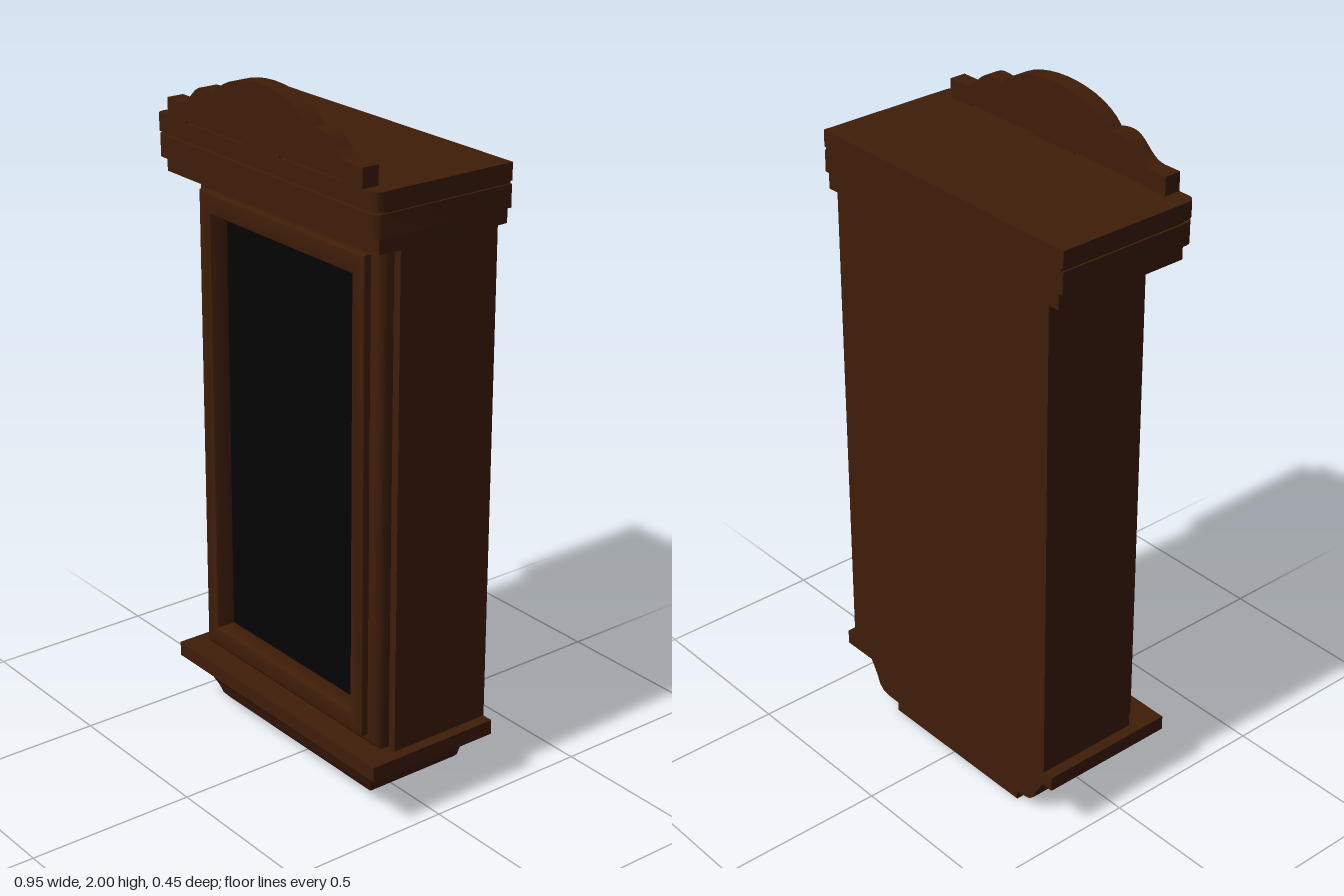
import * as THREE from 'three';
import { toCreasedNormals } from 'three/addons/utils/BufferGeometryUtils.js';

const wood = new THREE.MeshStandardMaterial({ color: 0x3f1d08 });
wood.name = 'dark wood';
const glass = new THREE.MeshStandardMaterial({ color: 0x040404 });
glass.name = 'black glass';

export function createModel() {
  const group = new THREE.Group();
  const add = (name, geometry, material = wood) => {
    const mesh = new THREE.Mesh(geometry, material);
    mesh.name = name;
    group.add(mesh);
    return mesh;
  };

  // Box given by its limits on each axis
  const box = (name, x0, x1, y0, y1, z0, z1, material) =>
    add(name, new THREE.BoxGeometry(x1 - x0, y1 - y0, z1 - z0), material)
      .position.set((x0 + x1) / 2, (y0 + y1) / 2, (z0 + z1) / 2);

  // Horizontal slab, flush at the back, with rounded front corners
  const slab = (name, hw, zFront, y0, y1, r) => {
    const s = new THREE.Shape();
    const back = 0.223;
    s.moveTo(-hw, back);
    s.lineTo(-hw, -zFront + r);
    s.quadraticCurveTo(-hw, -zFront, -hw + r, -zFront);
    s.lineTo(hw - r, -zFront);
    s.quadraticCurveTo(hw, -zFront, hw, -zFront + r);
    s.lineTo(hw, back);
    const g = new THREE.ExtrudeGeometry(s, { depth: y1 - y0, bevelEnabled: false, curveSegments: 8 });
    g.rotateX(-Math.PI / 2);
    add(name, toCreasedNormals(g, 0.6)).position.y = y0;
  };

  // Rectangular moulding with an opening and rounded front edges
  const frame = (name, hw, y0, y1, inHw, in0, in1, z0, z1, bevel) => {
    const rect = (P, w, a, b) => new P([[-w, a], [w, a], [w, b], [-w, b]].map(p => new THREE.Vector2(...p)));
    const s = rect(THREE.Shape, hw, y0, y1);
    s.holes.push(rect(THREE.Path, inHw, in0, in1));
    const g = new THREE.ExtrudeGeometry(s, {
      depth: z1 - z0 - bevel, bevelThickness: bevel, bevelSize: bevel,
      bevelOffset: -bevel, bevelSegments: 4,
    });
    add(name, toCreasedNormals(g, 0.6)).position.z = z0;
  };

  // Case
  box('caseBody', -0.425, 0.425, 0.19, 1.67, -0.223, 0.1);

  // Door with two stepped mouldings and a deeply recessed dark pane
  frame('doorOuterFrame', 0.4, 0.205, 1.655, 0.33, 0.275, 1.585, 0.09, 0.143, 0.024);
  frame('doorInnerFrame', 0.36, 0.24, 1.622, 0.311, 0.297, 1.562, 0.1, 0.166, 0.005);
  box('doorPane', -0.315, 0.315, 0.29, 1.567, 0.1, 0.108, glass);

  // Cornice
  slab('corniceLower', 0.46, 0.2, 1.657, 1.702, 0.004);
  slab('corniceMiddle', 0.474, 0.222, 1.702, 1.765, 0.03);
  slab('corniceGroove', 0.468, 0.208, 1.765, 1.774, 0.03);
  slab('corniceTop', 0.475, 0.224, 1.774, 1.823, 0.03);

  // Scrolled crest standing on narrow feet
  const crest = new THREE.Shape();
  crest.moveTo(-0.42, 1.82);
  crest.lineTo(-0.42, 1.877);
  crest.lineTo(-0.365, 1.877);
  crest.bezierCurveTo(-0.31, 1.88, -0.3, 1.936, -0.25, 1.937);
  crest.quadraticCurveTo(-0.225, 1.937, -0.205, 1.93);
  crest.bezierCurveTo(-0.13, 2.023, 0.13, 2.023, 0.205, 1.93);
  crest.quadraticCurveTo(0.225, 1.937, 0.25, 1.937);
  crest.bezierCurveTo(0.3, 1.936, 0.31, 1.88, 0.365, 1.877);
  crest.lineTo(0.42, 1.877);
  crest.lineTo(0.42, 1.82);
  for (const [a, b] of [[0.335, 0.08], [-0.08, -0.335]]) {
    crest.lineTo(a, 1.82);
    crest.lineTo(a, 1.828);
    crest.lineTo(b, 1.828);
    crest.lineTo(b, 1.82);
  }
  const crestGeo = new THREE.ExtrudeGeometry(crest, { depth: 0.05, bevelEnabled: false, curveSegments: 14 });
  add('crest', toCreasedNormals(crestGeo, 0.5)).position.set(0.006, 0, 0.174);

  // Base shelf
  box('baseShelf', -0.458, 0.458, 0.156, 0.2, -0.223, 0.2);

  // Curved base: rectangles [half width, front z, y] stacked from bottom to top
  const rings = [
    [0.3, 0.09, 0.028], [0.332, 0.108, 0.034], [0.35, 0.122, 0.05], [0.36, 0.13, 0.075],
    [0.375, 0.142, 0.1], [0.39, 0.158, 0.122], [0.402, 0.166, 0.135], [0.402, 0.166, 0.165],
  ].map(([w, f, y]) => [[-w, y, f], [w, y, f], [w, y, -0.193], [-w, y, -0.193]]);
  const pos = [];
  const quad = (a, b, c, d) => pos.push(...a, ...b, ...c, ...a, ...c, ...d);
  for (let i = 0; i < rings.length - 1; i++) {
    for (let k = 0; k < 4; k++) {
      const n = (k + 1) % 4;
      quad(rings[i][k], rings[i][n], rings[i + 1][n], rings[i + 1][k]);
    }
  }
  const [p, q, r, s] = rings[0];
  quad(s, r, q, p);
  quad(...rings[rings.length - 1]);
  const baseGeo = new THREE.BufferGeometry();
  baseGeo.setAttribute('position', new THREE.Float32BufferAttribute(pos, 3));
  add('baseMoulding', toCreasedNormals(baseGeo, 0.7));

  // Plate under the base
  box('basePlate', -0.28, 0.262, 0, 0.035, -0.193, 0.03);

  return group;
}
